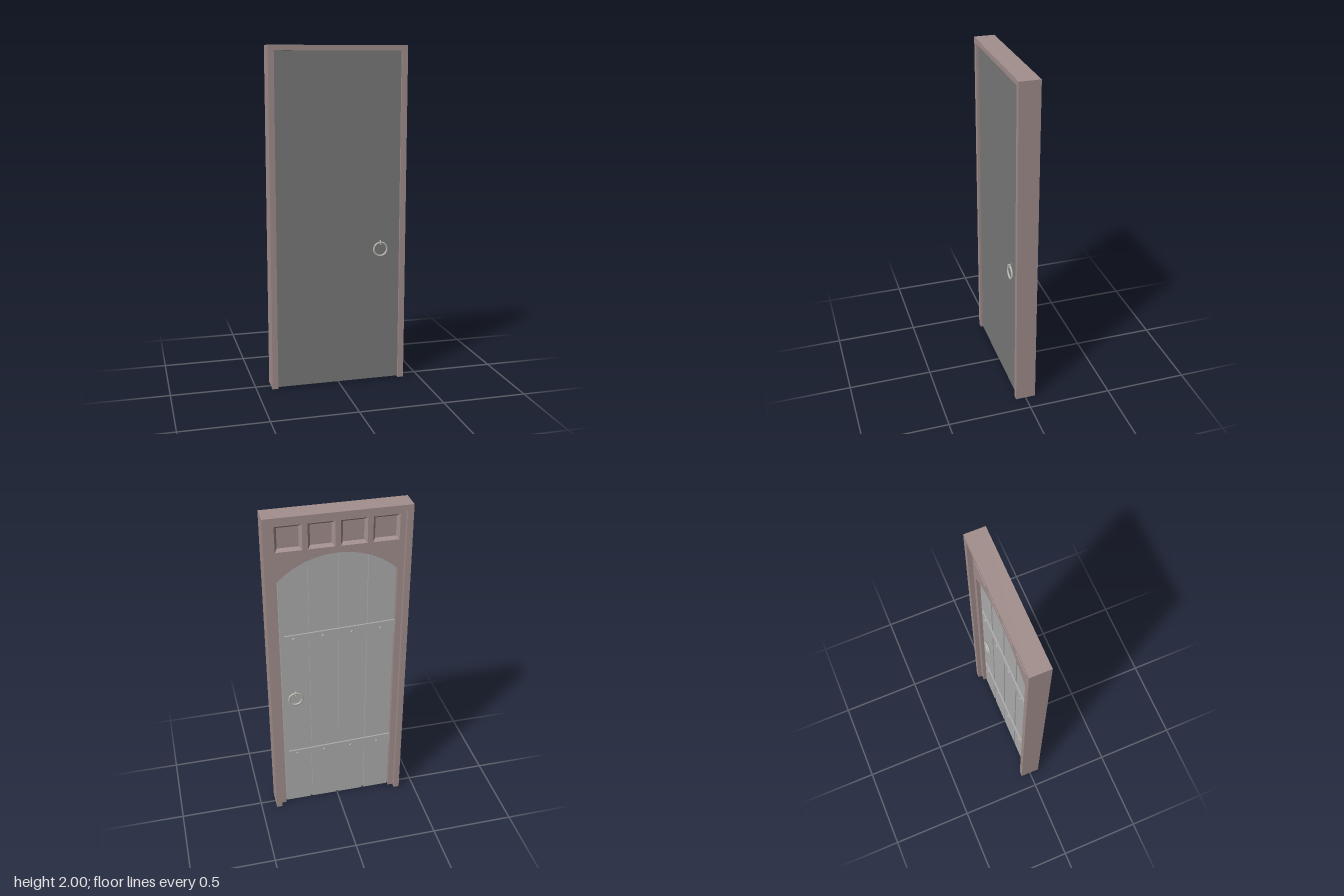
import * as THREE from 'three';

const paint = (name, color) => {
  const m = new THREE.MeshStandardMaterial({ color });
  m.name = name;
  return m;
};

export function createModel() {
  const model = new THREE.Group();
  model.name = 'door';
  const wood = paint('brownWood', 0xa28f8d);
  const frontGrey = paint('darkGrey', 0x7a7a7a);
  const plankGrey = paint('plankGrey', 0xaeaeae);
  const metal = paint('ringMetal', 0xb8b8b2);

  const add = (name, geometry, material, x = 0, y = 0, z = 0) => {
    const mesh = new THREE.Mesh(geometry, material);
    mesh.name = name;
    mesh.position.set(x, y, z);
    model.add(mesh);
    return mesh;
  };
  const polygon = (points) => new THREE.Shape(points.map(([x, y]) => new THREE.Vector2(x, y)));
  // Extrude a shape between two depths
  const slab = (shape, z0, z1) =>
    new THREE.ExtrudeGeometry(shape, { depth: z1 - z0, bevelEnabled: false }).translate(0, 0, z0);

  const W = 0.407, IN = 0.373, TOP = 1.97, OPEN = 0.34, BASE = 0.005;
  const BACK = -0.034, PLANK = -0.015, MID = 0.02, FRONT = 0.045;

  // Outer frame, open at the floor
  add('frame', slab(polygon([
    [-W, 0], [-IN, 0], [-IN, TOP], [IN, TOP], [IN, 0], [W, 0], [W, 2], [-W, 2],
  ]), -0.06, 0.06), wood);

  // Flat front face of the leaf
  add('frontLeaf', new THREE.BoxGeometry(IN * 2, TOP - BASE, FRONT - MID),
    frontGrey, 0, (TOP + BASE) / 2, (FRONT + MID) / 2);

  // Back surround with arched opening and square panel holes
  const spring = 1.615, rise = 0.14;
  const radius = (OPEN * OPEN + rise * rise) / (2 * rise);
  const outline = [[-IN, BASE], [-OPEN, BASE]];
  const steps = 12, half = Math.asin(OPEN / radius);
  for (let i = 0; i <= steps; i++) {
    const a = -half + (2 * half * i) / steps;
    outline.push([radius * Math.sin(a), spring + rise - radius + radius * Math.cos(a)]);
  }
  outline.push([OPEN, BASE], [IN, BASE], [IN, TOP], [-IN, TOP]);
  const surround = polygon(outline);
  const panelX = [-0.268, -0.0893, 0.0893, 0.268], panelY = 1.866, h = 0.074;
  const depth = 0.02, inset = 0.015;
  for (const x of panelX) {
    surround.holes.push(new THREE.Path([[-h, -h], [-h, h], [h, h], [h, -h]]
      .map(([dx, dy]) => new THREE.Vector2(x + dx, panelY + dy))));
    // Sloping sides, turned to face inward
    let bevel = new THREE.CylinderGeometry(h * Math.SQRT2, (h - inset) * Math.SQRT2, depth, 4, 1, true)
      .rotateY(Math.PI / 4).rotateX(-Math.PI / 2).scale(-1, 1, 1).toNonIndexed();
    bevel.computeVertexNormals();
    add('panelBevel', bevel, wood, x, panelY, BACK + depth / 2);
    add('panelFloor', new THREE.BoxGeometry(h * 2, h * 2, 0.01), wood, x, panelY, BACK + depth + 0.005);
  }
  add('archedSurround', slab(surround, BACK, MID), wood);

  // Planks with narrow grooves between them
  const pitch = OPEN / 2, gap = 0.014, plankTop = spring + rise + 0.01;
  add('grooveFloor', new THREE.BoxGeometry(OPEN * 2, plankTop - BASE, 0.024),
    plankGrey, 0, (plankTop + BASE) / 2, 0.008);
  const plankX = [-1.5, -0.5, 0.5, 1.5].map((k) => k * pitch);
  for (const x of plankX) {
    const g = new THREE.BoxGeometry(pitch - gap, plankTop - BASE, MID - PLANK);
    add('plank', g, plankGrey, x, (plankTop + BASE) / 2, (MID + PLANK) / 2);
  }

  // Tapered hinge straps with rivets
  for (const y of [1.235, 0.392]) {
    add('hingeStrap', slab(polygon([
      [-OPEN, y - 0.043], [0.308, y - 0.022], [0.308, y + 0.022], [-OPEN, y + 0.043],
    ]), PLANK - 0.009, PLANK), plankGrey);
    for (const x of plankX) {
      const rivet = new THREE.CylinderGeometry(0.006, 0.009, 0.006, 10).rotateX(-Math.PI / 2);
      add('rivet', rivet, plankGrey, x, y, PLANK - 0.012);
    }
  }

  // Ring handles hanging from pins on both sides
  for (const [surface, dir] of [[FRONT, 1], [PLANK, -1]]) {
    const z = surface + dir * 0.008;
    add('ringHandle', new THREE.TorusGeometry(0.04, 0.006, 10, 32), metal, 0.255, 0.812, z);
    add('ringPin', new THREE.CylinderGeometry(0.004, 0.004, 0.022, 10).rotateX(Math.PI / 2),
      metal, 0.255, 0.843, surface + dir * 0.006);
    add('ringStaple', new THREE.TorusGeometry(0.011, 0.003, 8, 16).rotateY(Math.PI / 2),
      metal, 0.255, 0.853, surface + dir * 0.004);
  }
  return model;
}
